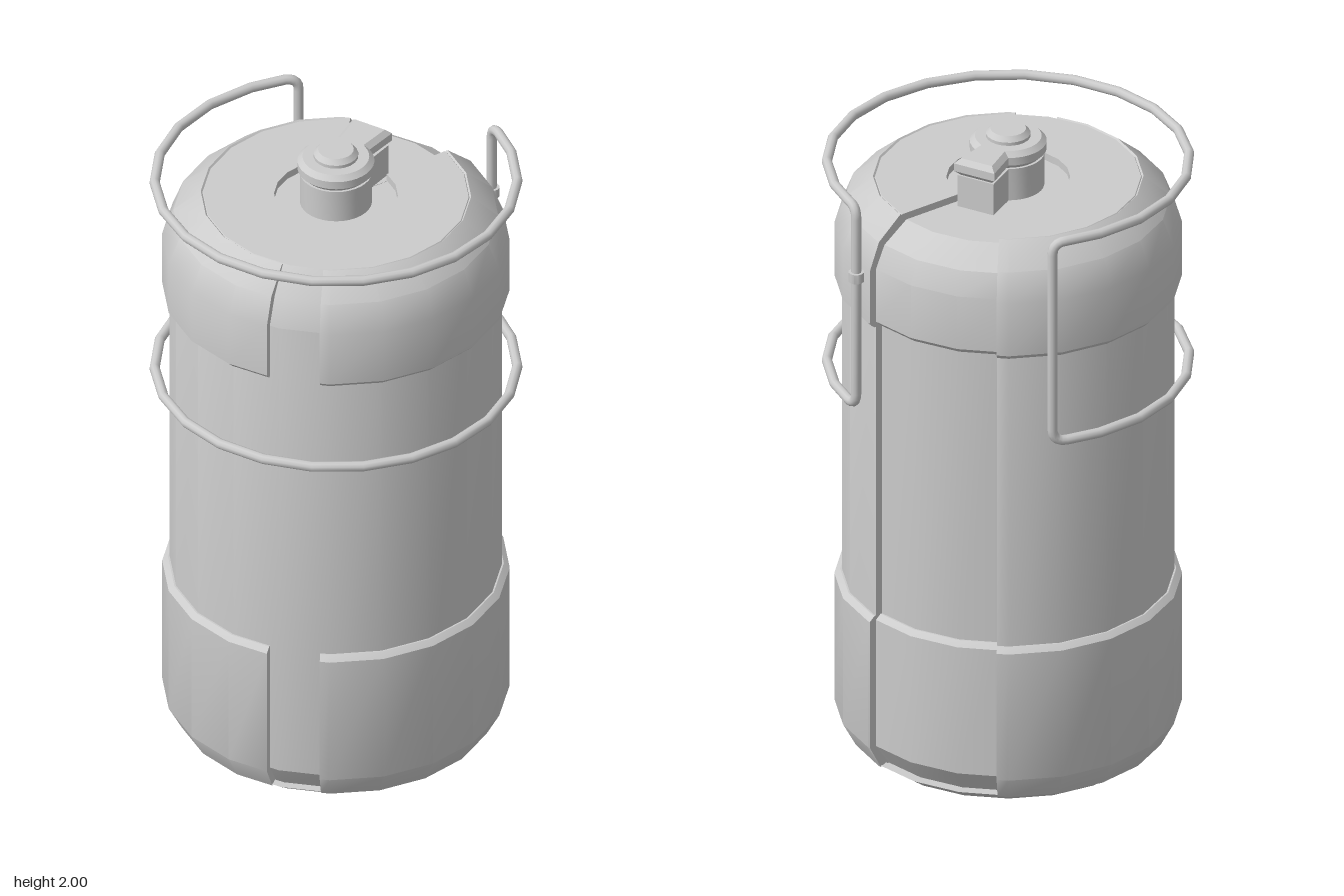
import * as THREE from 'three';
import { toCreasedNormals, mergeGeometries } from 'three/addons/utils/BufferGeometryUtils.js';

const SIDES = 20, STEP = 360 / SIDES, RAD = Math.PI / 180;
const material = new THREE.MeshStandardMaterial({ color: 0xcccccc });

// Point on the 20-sided outline; azimuth in degrees, 0 = front, 90 = left (+x)
function onPolygon(r, y, az) {
  const off = az - Math.round(az / STEP) * STEP;
  const k = r * Math.cos(STEP / 2 * RAD) / Math.cos(off * RAD);
  return [k * Math.sin(az * RAD), y, k * Math.cos(az * RAD)];
}

// Sweep a closed [r, y] section (counter-clockwise) from azimuth a0 to a1, with end caps
function sector(section, a0, a1) {
  const angles = [a0];
  for (let a = Math.ceil((a0 - 9) / STEP) * STEP + 9; a < a1 - 0.01; a += STEP) {
    if (a > a0 + 0.01) angles.push(a);
  }
  angles.push(a1);
  const n = section.length, pos = [], idx = [];
  angles.forEach(a => section.forEach(([r, y]) => pos.push(...onPolygon(r, y, a))));
  for (let i = 0; i < angles.length - 1; i++) {
    for (let j = 0; j < n; j++) {
      const a = i * n + j, d = i * n + (j + 1) % n;
      idx.push(a, a + n, d + n, a, d + n, d);
    }
  }
  if (a1 - a0 < 359.9) {
    const last = (angles.length - 1) * n;
    const faces = THREE.ShapeUtils.triangulateShape(section.map(p => new THREE.Vector2(...p)), []);
    for (const [a, b, c] of faces) idx.push(a, b, c, last + c, last + b, last + a);
  }
  const g = new THREE.BufferGeometry();
  g.setAttribute('position', new THREE.Float32BufferAttribute(pos, 3));
  g.setIndex(idx);
  return toCreasedNormals(g, 0.5);
}

// Curve that passes exactly through a closed list of points, with mitred corners
class ClosedPolyline extends THREE.Curve {
  constructor(points) { super(); this.points = points; }
  at(i) { const n = this.points.length; return this.points[((i % n) + n) % n]; }
  getPoint(t, target = new THREE.Vector3()) {
    return target.copy(this.at(Math.round(t * this.points.length)));
  }
  getPointAt(u, target) { return this.getPoint(u, target); }
  getTangentAt(u, target = new THREE.Vector3()) {
    const i = Math.round(u * this.points.length), p = this.at(i);
    const before = p.clone().sub(this.at(i - 1)).normalize();
    const after = this.at(i + 1).clone().sub(p).normalize();
    return target.copy(before.add(after).normalize());
  }
}

// Keyhole outline of the valve: round collar with a spout along +y
function keyhole(r, neck, tip, length) {
  const s = new THREE.Shape();
  const a = Math.acos(neck / r);
  s.absarc(0, 0, r, Math.PI - a, 2 * Math.PI + a, false);
  s.lineTo(tip, length);
  s.lineTo(-tip, length);
  s.closePath();
  return s;
}

export function createModel() {
  const model = new THREE.Group();
  const add = (name, geometry, parent = model) => {
    const mesh = new THREE.Mesh(geometry, material);
    mesh.name = name;
    parent.add(mesh);
    return mesh;
  };

  const SLOT = [172, 221];       // rear slot in the casing
  const CHANNEL = [23.5, 41.7];  // front channel in both bands

  // Rounded base
  add('base', sector([[0, 0], [0.37, 0], [0.42, 0.016], [0.466, 0.05], [0, 0.05]], 9, 369));

  // Casing, open at the rear slot and around the valve
  add('casing', sector([
    [0.44, 0.05], [0.483, 0.12], [0.483, 1.68], [0.447, 1.765], [0.386, 1.84], [0.18, 1.84],
    [0.18, 1.8], [0.37, 1.8], [0.43, 1.7], [0.43, 0.05],
  ], SLOT[1] - 360, SLOT[0]));

  // Raised bands either side of the front channel
  const lowerBand = [
    [0.465, 0.045], [0.505, 0.12], [0.505, 0.535], [0.488, 0.55],
    [0.46, 0.55], [0.46, 0.13], [0.435, 0.06],
  ];
  const upperBand = [
    [0.488, 1.5], [0.505, 1.517], [0.505, 1.69], [0.472, 1.775], [0.393, 1.842],
    [0.37, 1.82], [0.43, 1.75], [0.46, 1.67], [0.46, 1.5],
  ];
  for (const [name, section] of [['lowerBand', lowerBand], ['upperBand', upperBand]]) {
    add(name + 'Right', sector(section, SLOT[1] - 360, CHANNEL[0]));
    add(name + 'Left', sector(section, CHANNEL[1], SLOT[0]));
  }

  // Inner tank seen through the slot, and the floor of the valve recess
  add('innerTank', sector([
    [0, 0.05], [0.435, 0.05], [0.483, 0.12], [0.483, 0.535], [0.466, 0.55], [0.461, 0.55],
    [0.461, 1.5], [0.466, 1.5], [0.483, 1.517], [0.483, 1.69], [0.452, 1.76],
    [0.372, 1.818], [0, 1.818],
  ], SLOT[0] - 1, SLOT[1] + 1));
  add('recessFloor', new THREE.CylinderGeometry(0.2, 0.2, 0.02, 32)).position.y = 1.807;

  // Valve: keyhole body, bevelled cap and round knob
  const valve = new THREE.Group();
  valve.name = 'valve';
  valve.rotation.y = 15.7 * RAD;
  model.add(valve);
  const upright = (shape, depth, y, options) => new THREE.ExtrudeGeometry(shape, {
    depth, curveSegments: 14, bevelEnabled: false, ...options,
  }).rotateX(-Math.PI / 2).translate(0, y, 0);
  add('valveBody', toCreasedNormals(upright(keyhole(0.105, 0.052, 0.06, 0.195), 0.11, 1.81), 0.5), valve);
  add('valveCap', toCreasedNormals(upright(keyhole(0.112, 0.055, 0.067, 0.203), 0.025, 1.935, {
    bevelEnabled: true, bevelSegments: 1, bevelSize: 0.015, bevelThickness: 0.015, bevelOffset: -0.015,
  }), 0.5), valve);
  const knob = [[0, 1.96], [0.065, 1.96], [0.065, 1.985], [0.052, 2], [0, 2]];
  add('knob', toCreasedNormals(
    new THREE.LatheGeometry(knob.map(p => new THREE.Vector2(...p)), 20), 0.5), valve);

  // Wire handle: two open hoops joined by rounded uprights
  const HOOP = 0.527, TOP = 1.895, LOW = 1.24, START = 168, END = -121, SEGMENTS = 18;
  const wireAt = (az, y) => new THREE.Vector3(HOOP * Math.sin(az * RAD), y, HOOP * Math.cos(az * RAD));
  const bend = (from, corner, to) => new THREE.QuadraticBezierCurve3(from, corner, to).getPoints(5);
  const hoop = y => {
    const pts = [];
    for (let i = 1; i < SEGMENTS; i++) pts.push(wireAt(START + (END - START) * i / SEGMENTS, y));
    return pts;
  };
  const inset = 4.5, drop = 0.04;
  const points = [
    ...bend(wireAt(START, TOP - drop), wireAt(START, TOP), wireAt(START - inset, TOP)),
    ...hoop(TOP),
    ...bend(wireAt(END + inset, TOP), wireAt(END, TOP), wireAt(END, TOP - drop)),
    ...bend(wireAt(END, LOW + drop), wireAt(END, LOW), wireAt(END + inset, LOW)),
    ...hoop(LOW).reverse(),
    ...bend(wireAt(START - inset, LOW), wireAt(START, LOW), wireAt(START, LOW + drop)),
  ];
  add('wireHandle', new THREE.TubeGeometry(new ClosedPolyline(points), points.length, 0.015, 10, true));

  // Small sleeve joining the wire ends
  const sleeve = add('wireSleeve', toCreasedNormals(new THREE.CylinderGeometry(0.023, 0.023, 0.03, 12), 0.6));
  sleeve.position.copy(wireAt(START, 1.665));

  return model;
}
